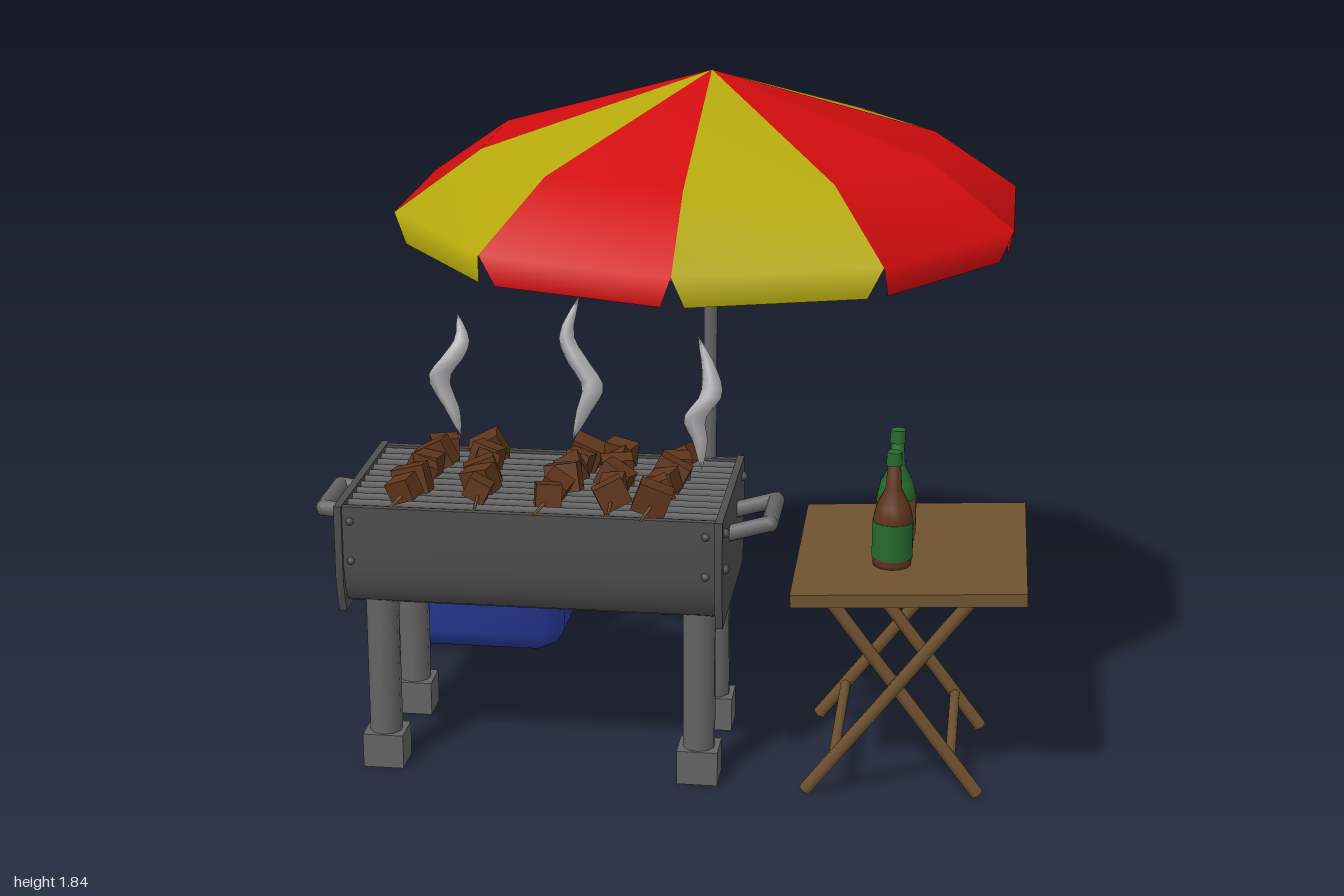
import * as THREE from 'three';
import { mergeVertices, toCreasedNormals } from 'three/addons/utils/BufferGeometryUtils.js';

const mat = (name, color) => Object.assign(new THREE.MeshStandardMaterial({ color, side: THREE.DoubleSide }), { name });

export function createModel() {
  const M = {
    red: mat('red cloth', 0xd10c0e), yellow: mat('yellow cloth', 0xb5a80c), amber: mat('amber cloth', 0xbf920e),
    iron: mat('dark iron', 0x4e4e4f), steel: mat('steel grey', 0x646464), white: mat('pale grey', 0xbfbfc2),
    blue: mat('cooler blue', 0x2a3c9e), meat: mat('brown', 0x5e351b), wood: mat('wood', 0x6f5230), green: mat('green', 0x26692e),
  };
  const model = new THREE.Group();
  const V = (x, y, z) => new THREE.Vector3(x, y, z);
  const group = (name) => {
    const g = new THREE.Group();
    g.name = name;
    model.add(g);
    return g;
  };
  const add = (parent, name, geo, material, x = 0, y = 0, z = 0) => {
    const m = new THREE.Mesh(geo, material);
    m.name = name;
    m.position.set(x, y, z);
    parent.add(m);
    return m;
  };
  const flat = (geo) => {
    geo.computeVertexNormals();
    return geo;
  };
  const faces = (tris) => flat(new THREE.BufferGeometry().setFromPoints(tris));
  const smooth = (tris) => flat(mergeVertices(new THREE.BufferGeometry().setFromPoints(tris)));
  // straight round rod between two points
  const rod = (parent, name, a, b, r, material, sides = 8, r2 = r) => {
    const m = add(parent, name, new THREE.CylinderGeometry(r2, r, a.distanceTo(b), sides), material);
    m.position.copy(a).lerp(b, 0.5);
    m.quaternion.setFromUnitVectors(V(0, 1, 0), b.clone().sub(a).normalize());
    return m;
  };
  // triangles skinning stacked rings (each counter-clockwise seen from above), ends capped
  const loft = (rings) => {
    const t = [], n = rings[0].length, top = rings[rings.length - 1];
    for (let i = 0; i + 1 < rings.length; i++)
      for (let j = 0; j < n; j++) {
        const k = (j + 1) % n, a = rings[i], b = rings[i + 1];
        t.push(a[j], a[k], b[k], a[j], b[k], b[j]);
      }
    for (let j = 1; j + 1 < n; j++) t.push(rings[0][0], rings[0][j + 1], rings[0][j], top[0], top[j], top[j + 1]);
    return t;
  };

  // ---- Parasol: ten panels with notched valance, and a lining just below
  const parasol = group('parasol');
  const outer = ['yellow', 'red', 'red', 'amber', 'amber', 'red', 'yellow', 'red', 'yellow', 'red'];
  const inner = ['yellow', 'red', 'red', 'red', 'red', 'red', 'yellow', 'red', 'red', 'red'];
  const rim = (i, r, y) => V(0.12 + r * Math.sin(i * Math.PI / 5), y, r * Math.cos(i * Math.PI / 5));
  const canopy = (i, drop) => {
    const [mL, mR] = [rim(i, 0.62, 1.65 - drop), rim(i + 1, 0.62, 1.65 - drop)];
    const [oL, oR] = [rim(i, 0.852 - drop, 1.49 - drop), rim(i + 1, 0.852 - drop, 1.49 - drop)];
    return [V(0.12, 1.84 - drop, 0), mL, mR, mL, oL, oR, mL, oR, mR];
  };
  for (let i = 0; i < 10; i++) {
    const panel = canopy(i, 0), oL = panel[4], oR = panel[5];
    const lowL = rim(i, 0.835, 1.41), lowR = rim(i + 1, 0.835, 1.41);
    const bL = lowL.clone().lerp(lowR, 0.06), bR = lowR.clone().lerp(lowL, 0.06);
    add(parasol, 'parasolPanel', smooth([...panel, oL, bL, bR, oL, bR, oR]), M[outer[i]]);
    add(parasol, 'parasolLining', smooth(canopy(i, 0.008).reverse()), M[inner[i]]);
  }
  rod(parasol, 'parasolPole', V(0.12, 0.69, 0), V(0.12, 1.82, 0), 0.019, M.steel, 10);

  // ---- Grill trough: rounded U-shaped shell with closed ends
  const grill = group('grill');
  const half = [[0, 0.76], [0, 0.6], [0.012, 0.535], [0.035, 0.49], [0.085, 0.467]];
  const profile = [...half, ...half.map(([z, y]) => [0.54 - z, y]).reverse()];
  const inside = profile.map(([z, y]) => [0.27 + (z - 0.27) * 0.93, y === 0.76 ? y : y + 0.02]).reverse();
  const extrudeX = (pts, x0, x1) => {
    const shape = new THREE.Shape(pts.map((p) => new THREE.Vector2(...p)));
    const geo = new THREE.ExtrudeGeometry(shape, { depth: x1 - x0, bevelEnabled: false });
    return toCreasedNormals(geo.rotateY(-Math.PI / 2).translate(x1, 0, 0), 0.9);
  };
  add(grill, 'trough', extrudeX([...profile, ...inside], -0.79, 0.2), M.iron);
  const endProfile = [[-0.01, 0.763], [-0.01, 0.55], [0.015, 0.462], [0.525, 0.462], [0.55, 0.55], [0.55, 0.763]];
  for (const x of [-0.81, 0.195]) add(grill, 'endPlate', extrudeX(endProfile, x, x + 0.02), M.iron);
  for (const x of [-0.81, 0.215])
    for (const y of [0.72, 0.62])
      for (const z of [0.04, 0.5]) add(grill, 'rivet', new THREE.SphereGeometry(0.014, 8, 6), M.iron, x, y, z);
  for (const x of [-0.77, 0.17])
    for (const y of [0.72, 0.61]) add(grill, 'frontRivet', new THREE.SphereGeometry(0.011, 8, 6), M.iron, x, y, 0.54);
  // Coals and grate
  add(grill, 'ashBed', new THREE.BoxGeometry(0.96, 0.02, 0.49), M.iron, -0.3, 0.66, 0.27);
  for (let i = 0; i < 14; i++)
    add(grill, 'ember', new THREE.IcosahedronGeometry(0.022), M.red, -0.74 + i * 0.066, 0.675, 0.27 + 0.22 * Math.sin(i * 2.4 + 1.6));
  for (let i = 0; i < 11; i++) rod(grill, 'grateBar', V(-0.79, 0.745, 0.03 + i * 0.048), V(0.2, 0.745, 0.03 + i * 0.048), 0.011, M.steel, 6);
  // Legs with block feet
  for (const x of [-0.71, 0.145])
    for (const z of [0.09, 0.45]) {
      rod(grill, 'grillLeg', V(x, 0.05, z), V(x, 0.5, z), 0.044, M.steel, 10);
      add(grill, 'grillFoot', new THREE.BoxGeometry(0.11, 0.095, 0.1), M.steel, x, 0.0475, z);
    }
  // End handles
  for (const [x0, x1, y0, y1] of [[-0.8, -0.885, 0.68, 0.69], [0.2, 0.32, 0.665, 0.7]]) {
    const p = [V(x0, y0, 0.17), V(x1, y1, 0.17), V(x1, y1, 0.36), V(x0, y0, 0.36)];
    for (let i = 0; i < 3; i++) rod(grill, 'grillHandle', p[i], p[i + 1], 0.023, M.steel, 8);
    for (const i of [1, 2]) add(grill, 'handleCorner', new THREE.SphereGeometry(0.023, 8, 6), M.steel, ...p[i].toArray());
  }

  // ---- Skewers with chunks of meat
  const skewers = group('skewers');
  [[-0.62, 0.03], [-0.46, -0.03], [-0.23, 0.04], [-0.1, -0.02], [0.04, 0.03]].forEach(([x, lean], s) => {
    const a = V(x + lean, 0.785, 0.0), b = V(x - lean, 0.78, 0.6 - 0.03 * (s % 2));
    rod(skewers, 'skewer', a, b, 0.011, M.wood, 5, 0.004);
    for (let i = 0; i < 6; i++) {
      const k = 0.2 + i * 0.117, w = 0.066 + 0.012 * Math.sin(i * 2 + s);
      const c = add(skewers, 'meatChunk', new THREE.BoxGeometry(w * 1.15, w, 0.06), M.meat);
      c.position.copy(a).lerp(b, k).setY(0.795);
      c.rotation.set(0.2 * Math.sin(i * 3 + s), 0.3 * Math.cos(i * 2 + s), 0.5 * Math.sin(i * 1.7 + s * 2));
    }
  });

  // ---- Smoke wisps: wavy paths with a tapering diamond section
  const wisps = [
    [[-0.54, 0.86], [-0.56, 0.93], [-0.595, 1.02], [-0.555, 1.08], [-0.53, 1.13], [-0.54, 1.2]],
    [[-0.23, 0.86], [-0.2, 0.94], [-0.175, 1.01], [-0.215, 1.08], [-0.245, 1.15], [-0.21, 1.26]],
    [[0.12, 0.79], [0.115, 0.87], [0.1, 0.93], [0.145, 1.0], [0.14, 1.07], [0.11, 1.16]],
  ];
  for (const path of wisps) {
    const points = new THREE.CatmullRomCurve3(path.map(([x, y]) => V(x, y, 0.2))).getPoints(14);
    const rings = points.map(({ x, y }, i) => {
      const s = 0.03 + Math.sin(Math.PI * i / 14) ** 0.8, w = 0.03 * s, d = 0.048 * s;
      return [V(x + w, y, 0.2), V(x, y + w * 0.6, 0.2 - d), V(x - w, y, 0.2), V(x, y + w * 0.6, 0.2 + d)];
    });
    add(model, 'smokeWisp', smooth(loft(rings)), M.white);
  }

  // ---- Folding table
  const table = group('foldingTable');
  const top = add(table, 'tableTop', new THREE.BoxGeometry(0.605, 0.035, 0.705), M.wood, 0.694, 0.596, 0.253);
  top.rotation.set(0, 0.012, 0.05);
  for (const side of [-1, 1]) {
    const zo = 0.265 + side * 0.25, zi = 0.265 + side * 0.22;
    rod(table, 'tableLeg', V(0.435, 0.012, zo), V(0.87, 0.585, zo), 0.018, M.wood, 6);
    rod(table, 'tableLeg', V(0.89, 0.012, zi), V(0.47, 0.57, zi), 0.018, M.wood, 6);
  }
  rod(table, 'crossBar', V(0.51, 0.11, 0.02), V(0.51, 0.11, 0.51), 0.015, M.wood, 6);
  rod(table, 'crossBar', V(0.816, 0.11, 0.05), V(0.816, 0.11, 0.48), 0.015, M.wood, 6);

  // ---- Bottles with wrapped labels and caps
  const bottlePts = [[0, 0], [0.05, 0], [0.052, 0.01], [0.052, 0.135], [0.044, 0.165], [0.022, 0.21], [0.017, 0.28], [0, 0.28]];
  for (const [z, glass, label] of [[0.385, M.meat, M.green], [0.195, M.green, M.wood]]) {
    const bottle = group('bottle');
    bottle.position.set(0.645, 0.612, z);
    add(bottle, 'bottleGlass', new THREE.LatheGeometry(bottlePts.map((p) => new THREE.Vector2(...p)), 14), glass);
    add(bottle, 'bottleLabel', new THREE.CylinderGeometry(0.0545, 0.0545, 0.1, 14), label, 0, 0.073, 0);
    add(bottle, 'bottleCap', new THREE.CylinderGeometry(0.02, 0.022, 0.035, 10), M.green, 0, 0.293, 0);
  }

  // ---- Cooler: chamfered tub and softly rounded lid
  const cooler = group('cooler');
  const ring = (y, inset, c = 0.06) => {
    const w = 0.307 - inset, d = 0.27 - inset;
    return [[w, d - c], [w, c - d], [w - c, -d], [c - w, -d], [-w, c - d], [-w, d - c], [c - w, d], [w - c, d]]
      .map(([x, z]) => V(x - 0.663, y, z - 0.593));
  };
  const tub = loft([ring(0, 0.055, 0.03), ring(0.018, 0.03, 0.04), ring(0.06, 0.006), ring(0.38, 0)]);
  const lid = loft([ring(0.38, 0), ring(0.425, 0.002), ring(0.465, 0.022, 0.05), ring(0.487, 0.055, 0.035)]);
  add(cooler, 'coolerTub', toCreasedNormals(faces(tub), 0.9), M.blue);
  add(cooler, 'coolerLid', toCreasedNormals(faces(lid), 0.9), M.white);
  for (const side of [-1, 1]) {
    const x = -0.661 + side * 0.321;
    for (const s of [-1, 1]) {
      add(cooler, 'coolerHandleBar', new THREE.BoxGeometry(0.036, 0.03, 0.18), M.white, x, 0.262 + s * 0.055, -0.59);
      add(cooler, 'coolerHandlePost', new THREE.BoxGeometry(0.036, 0.14, 0.03), M.white, x, 0.262, -0.59 + s * 0.075);
    }
  }
  return model;
}
